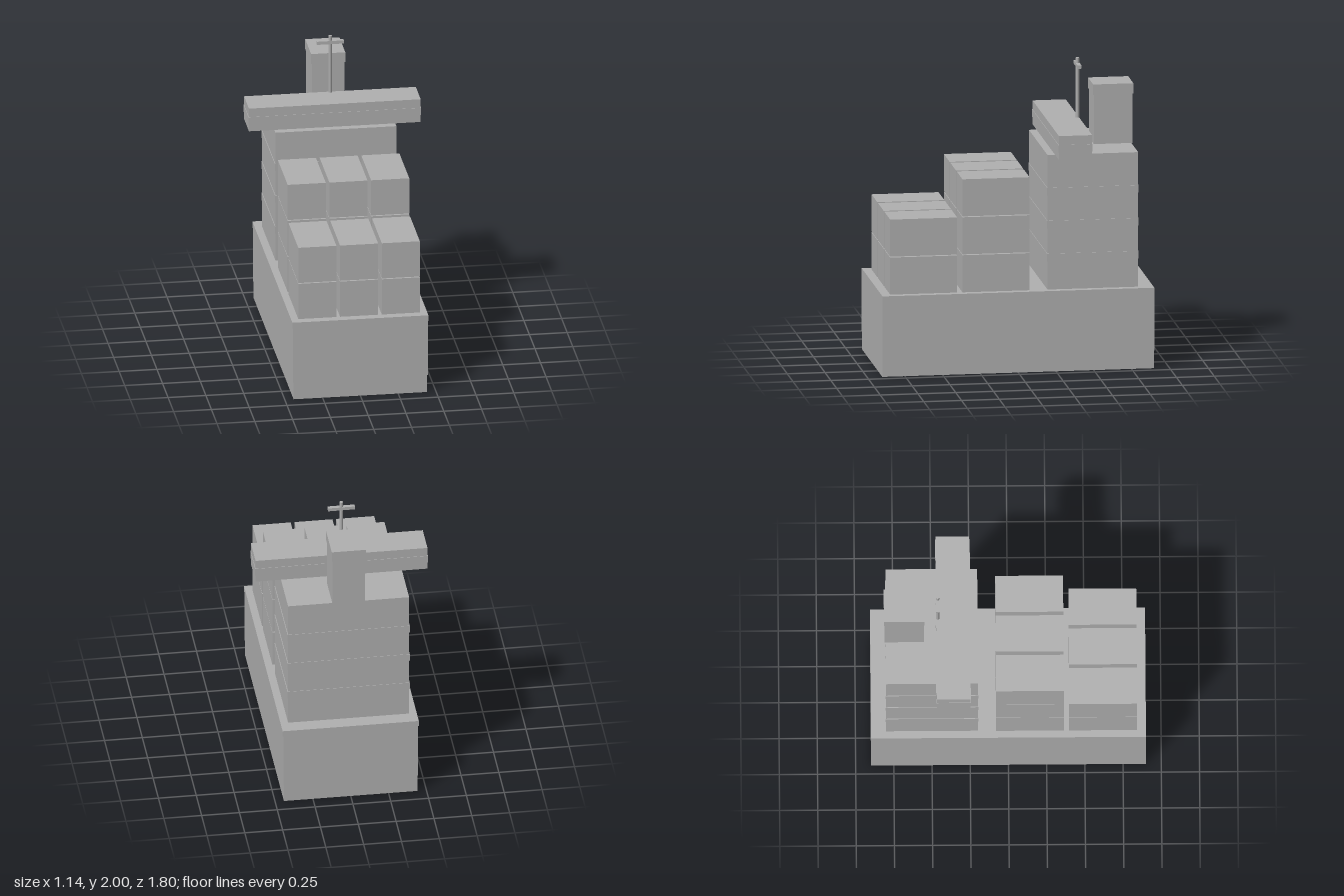
import * as THREE from 'three';

export function createModel() {
  const ship = new THREE.Group();
  ship.name = 'containerShip';
  const grey = new THREE.MeshStandardMaterial({ color: 0xb0b0b0 });
  grey.name = 'grey';

  function add(name, geometry, parent = ship) {
    const mesh = new THREE.Mesh(geometry, grey);
    mesh.name = name;
    parent.add(mesh);
    return mesh;
  }

  // box given by its limits on each axis
  function box(name, [x0, x1], [y0, y1], [z0, z1], parent) {
    const mesh = add(name, new THREE.BoxGeometry(x1 - x0, y1 - y0, z1 - z0), parent);
    mesh.position.set((x0 + x1) / 2, (y0 + y1) / 2, (z0 + z1) / 2);
    return mesh;
  }

  // hull: open skirt at the waterline, solid body, slightly wider deck
  const rect = (path, w, d) => path.moveTo(-w, -d).lineTo(w, -d).lineTo(w, d).lineTo(-w, d).closePath();
  const outline = rect(new THREE.Shape(), 0.442, 0.9);
  outline.holes.push(rect(new THREE.Path(), 0.437, 0.895));
  const skirt = new THREE.ExtrudeGeometry(outline, { depth: 0.12, bevelEnabled: false });
  add('lowerHull', skirt.rotateX(-Math.PI / 2));
  box('hull', [-0.446, 0.446], [0.12, 0.5], [-0.9, 0.9]);
  box('deck', [-0.45, 0.45], [0.5, 0.54], [-0.9, 0.9]);

  // cargo: two rows of stacks, three abreast
  const cargo = new THREE.Group();
  cargo.name = 'containers';
  ship.add(cargo);
  for (const { z, levels } of [{ z: 0.62, levels: 2 }, { z: 0.141, levels: 3 }]) {
    for (const x of [-0.276, 0, 0.276]) {
      for (let i = 0; i < levels; i++) {
        const y = 0.54 + i * 0.254;
        box('container', [x - 0.126, x + 0.126], [y, y + 0.248], [z - 0.222, z + 0.222], cargo);
      }
    }
  }

  // deckhouse with three thin window bands
  box('deckhouse', [-0.4, 0.4], [0.54, 1.44], [-0.8, -0.2]);
  for (const y of [0.755, 0.975, 1.195]) {
    box('windowBand', [-0.404, 0.404], [y - 0.025, y + 0.025], [-0.803, -0.197]);
  }

  // bridge with wings and its window strip
  box('bridge', [-0.568, 0.568], [1.44, 1.6], [-0.47, -0.25]);
  box('bridgeWindows', [-0.571, 0.571], [1.49, 1.54], [-0.473, -0.247]);

  // funnel and cap
  box('funnel', [-0.108, 0.108], [1.44, 1.77], [-0.808, -0.552]);
  box('funnelCap', [-0.113, 0.113], [1.77, 1.84], [-0.813, -0.547]);

  // mast and crossbar
  const mast = add('mast', new THREE.CylinderGeometry(0.012, 0.012, 0.4, 8));
  mast.position.set(0, 1.8, -0.46);
  box('mastCrossbar', [-0.089, 0.089], [1.943, 1.965], [-0.473, -0.447]);

  return ship;
}
